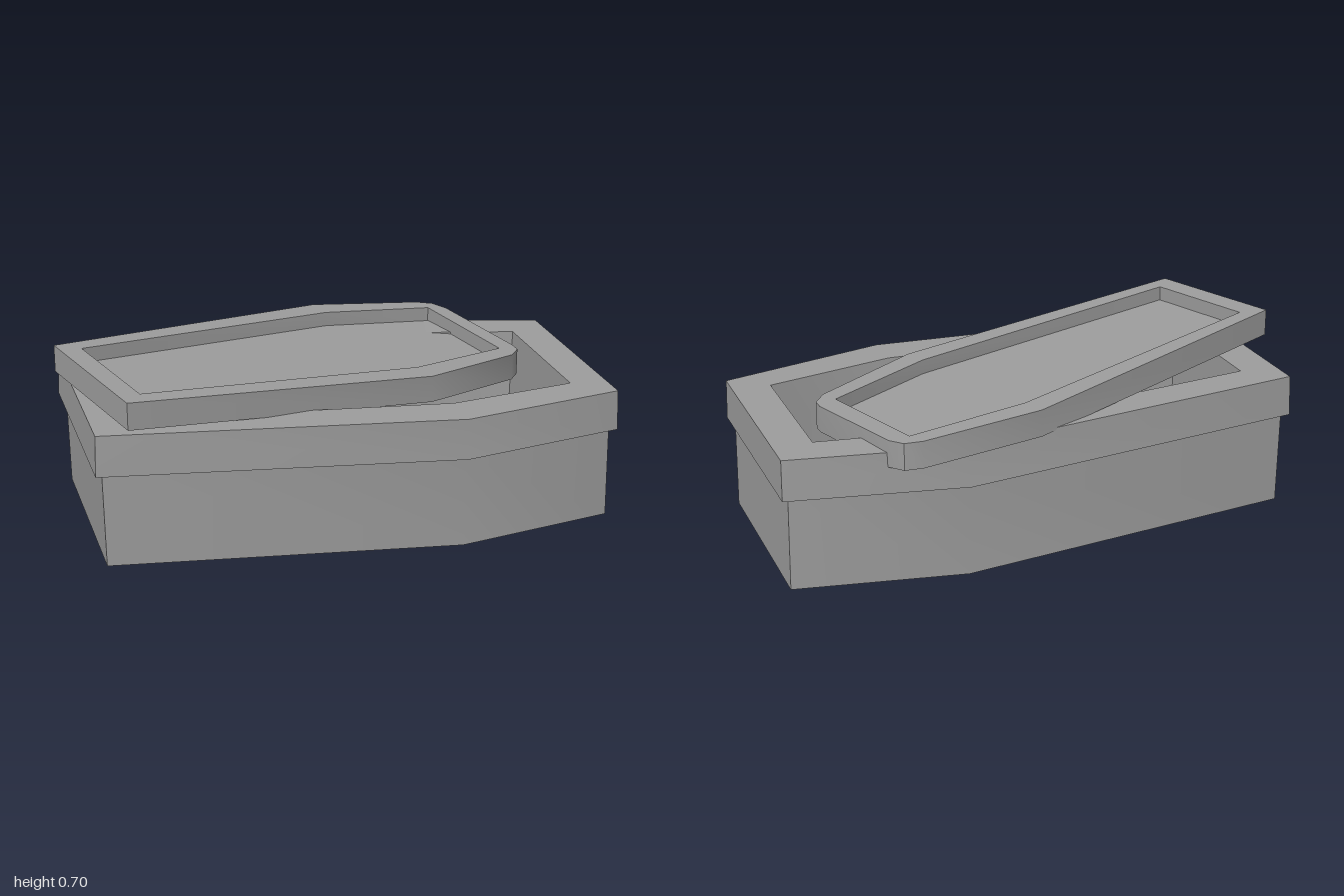
import * as THREE from 'three';
import { toCreasedNormals } from 'three/addons/utils/BufferGeometryUtils.js';

// Joins closed rings of [x, y, z] points (clockwise from above) into a solid,
// capping the first ring downwards and the last ring upwards.
// Shallow corners are shaded smoothly, sharp ones stay crisp.
function loft(name, rings, material) {
  const pos = [];
  const same = (p, q) => p.every((v, i) => v === q[i]);
  const tri = (a, b, c) => {
    if (!same(a, b) && !same(b, c) && !same(a, c)) pos.push(...a, ...b, ...c);
  };
  const n = rings[0].length;
  for (let r = 0; r < rings.length - 1; r++) {
    for (let i = 0; i < n; i++) {
      const j = (i + 1) % n;
      const a = rings[r][i], b = rings[r][j], c = rings[r + 1][j], d = rings[r + 1][i];
      tri(a, d, c);
      tri(a, c, b);
    }
  }
  const first = rings[0], last = rings[rings.length - 1];
  for (let i = 1; i < n - 1; i++) {
    tri(first[0], first[i], first[i + 1]);
    tri(last[0], last[i + 1], last[i]);
  }
  const geometry = new THREE.BufferGeometry();
  geometry.setAttribute('position', new THREE.Float32BufferAttribute(pos, 3));
  const mesh = new THREE.Mesh(toCreasedNormals(geometry, 0.63), material);
  mesh.name = name;
  return mesh;
}

// Tapered six-sided outline, widest near the shoulders, on a gently sloping level.
function hexRing(y, x0, x1, z0, z1, zWide) {
  const shoulder = 0.36, shift = 0.006;
  return [
    [x0, -z0], [shoulder, -zWide], [x1, -z1],
    [x1, z1], [shoulder, zWide], [x0, z0],
  ].map(([x, z]) => [x, y - 0.0195 * x - 0.01 * z, z + shift]);
}

// Lid outline placed on the tilted plane of the lid, lowered by drop.
const lidRing = (points, drop) =>
  points.map(([x, z]) => [x, 0.608 - 0.089 * x - 0.028 * z - drop, z]);

export function createModel() {
  const group = new THREE.Group();
  group.name = 'coffin';
  const material = new THREE.MeshStandardMaterial({ color: 0x9d9d9d });

  // Hollow box with an overhanging rim
  group.add(loft('box', [
    hexRing(0.023, -0.92, 0.975, 0.392, 0.392, 0.524),
    hexRing(0.373, -0.925, 0.97, 0.392, 0.392, 0.524),
    hexRing(0.373, -0.95, 0.995, 0.414, 0.414, 0.558),
    hexRing(0.524, -0.945, 0.992, 0.409, 0.408, 0.55),
    hexRing(0.524, -0.805, 0.85, 0.284, 0.294, 0.39),
    hexRing(0.08, -0.79, 0.836, 0.27, 0.28, 0.376),
  ], material));

  // Slanted lid with worn head corners and a sunken panel
  const outer = [
    [-1, -0.095], [0.095, -0.535], [0.536, -0.564], [0.6, -0.547], [0.638, -0.49],
    [0.758, -0.056], [0.76, -0.01], [0.716, 0.05], [0.323, 0.262], [-0.84, 0.472],
  ];
  const head = [0.563, -0.494], side = [0.69, -0.022];
  const panel = [
    [-0.905, -0.06], [0.12, -0.44], head, head, head,
    side, side, side, [0.296, 0.168], [-0.78, 0.389],
  ];
  group.add(loft('lid', [
    lidRing(outer, 0.1),
    lidRing(outer, 0),
    lidRing(panel, 0),
    lidRing(panel, 0.055),
  ], material));

  return group;
}
